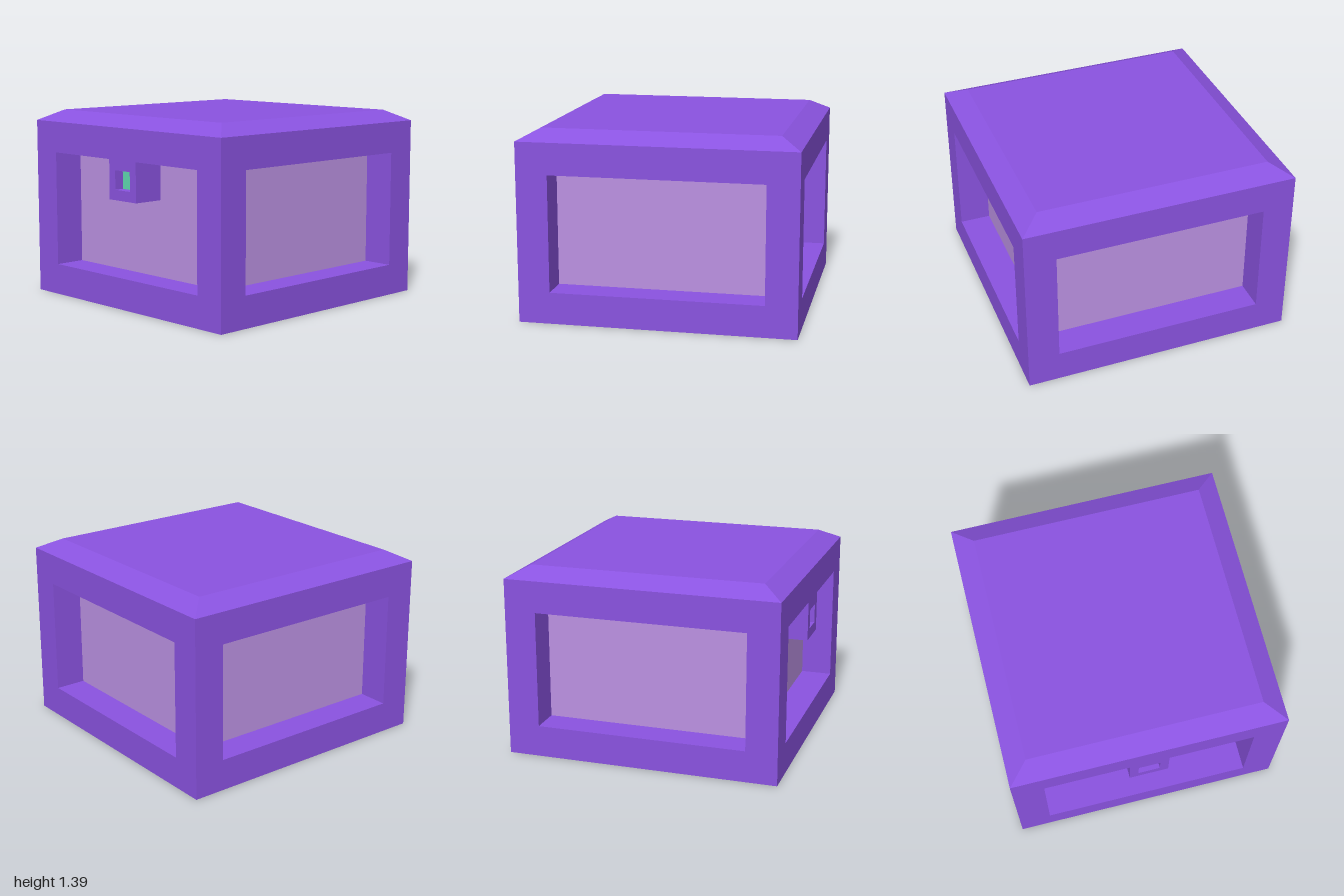
import * as THREE from 'three';

const purple = new THREE.MeshStandardMaterial({ color: 0x8a53e0 });
const lilac = new THREE.MeshStandardMaterial({ color: 0xbb91e2 });
const green = new THREE.MeshStandardMaterial({ color: 0x5fd9b0 });

const BORDER = 0.23;          // width of the frame and depth of the windows
const WALL = 1.31;            // height where the roof starts
const OPEN = WALL - 2 * BORDER;

export function createModel() {
  const model = new THREE.Group();

  const add = (parent, name, geometry, material, x, y, z) => {
    const mesh = new THREE.Mesh(geometry, material);
    mesh.name = name;
    mesh.position.set(x, y, z);
    parent.add(mesh);
    return mesh;
  };

  // Frame: base and lintel slabs joined by four corner posts
  const slab = new THREE.BoxGeometry(2, BORDER, 2);
  add(model, 'base', slab, purple, 0, BORDER / 2, 0);
  add(model, 'lintel', slab, purple, 0, WALL - BORDER / 2, 0);
  const post = new THREE.BoxGeometry(BORDER, OPEN, BORDER);
  const edge = 1 - BORDER / 2;
  for (const x of [-edge, edge]) {
    for (const z of [-edge, edge]) add(model, 'cornerPost', post, purple, x, WALL / 2, z);
  }

  // Bevelled roof: a low four-sided frustum
  const roof = new THREE.CylinderGeometry(0.85 * Math.SQRT2, Math.SQRT2, 0.08, 4)
    .rotateY(Math.PI / 4)
    .toNonIndexed();
  roof.computeVertexNormals();
  add(model, 'roof', roof, purple, 0, WALL + 0.04, 0);

  // Recessed panes on all four sides
  const core = 2 - 2 * BORDER;
  add(model, 'windowCore', new THREE.BoxGeometry(core, OPEN + 0.02, core), lilac, 0, WALL / 2, 0);

  // Small housing hanging in the -x window, with a recessed lens
  const sensor = new THREE.Group();
  sensor.name = 'sensor';
  sensor.position.set(-1 + BORDER, 0.935, 0);
  model.add(sensor);

  const rectangle = (path, w, h) => path
    .moveTo(-w / 2, -h / 2).lineTo(w / 2, -h / 2)
    .lineTo(w / 2, h / 2).lineTo(-w / 2, h / 2).closePath();
  const outline = new THREE.Shape();
  rectangle(outline, 0.29, 0.29);
  const hole = new THREE.Path();
  rectangle(hole, 0.16, 0.14);
  outline.holes.push(hole);
  const housing = new THREE.ExtrudeGeometry(outline, { depth: BORDER, bevelEnabled: false })
    .rotateY(-Math.PI / 2);
  add(sensor, 'sensorHousing', housing, purple, 0, 0, 0);
  add(sensor, 'sensorLens', new THREE.BoxGeometry(0.16, 0.14, 0.16), green, -0.08, 0, 0);

  return model;
}
